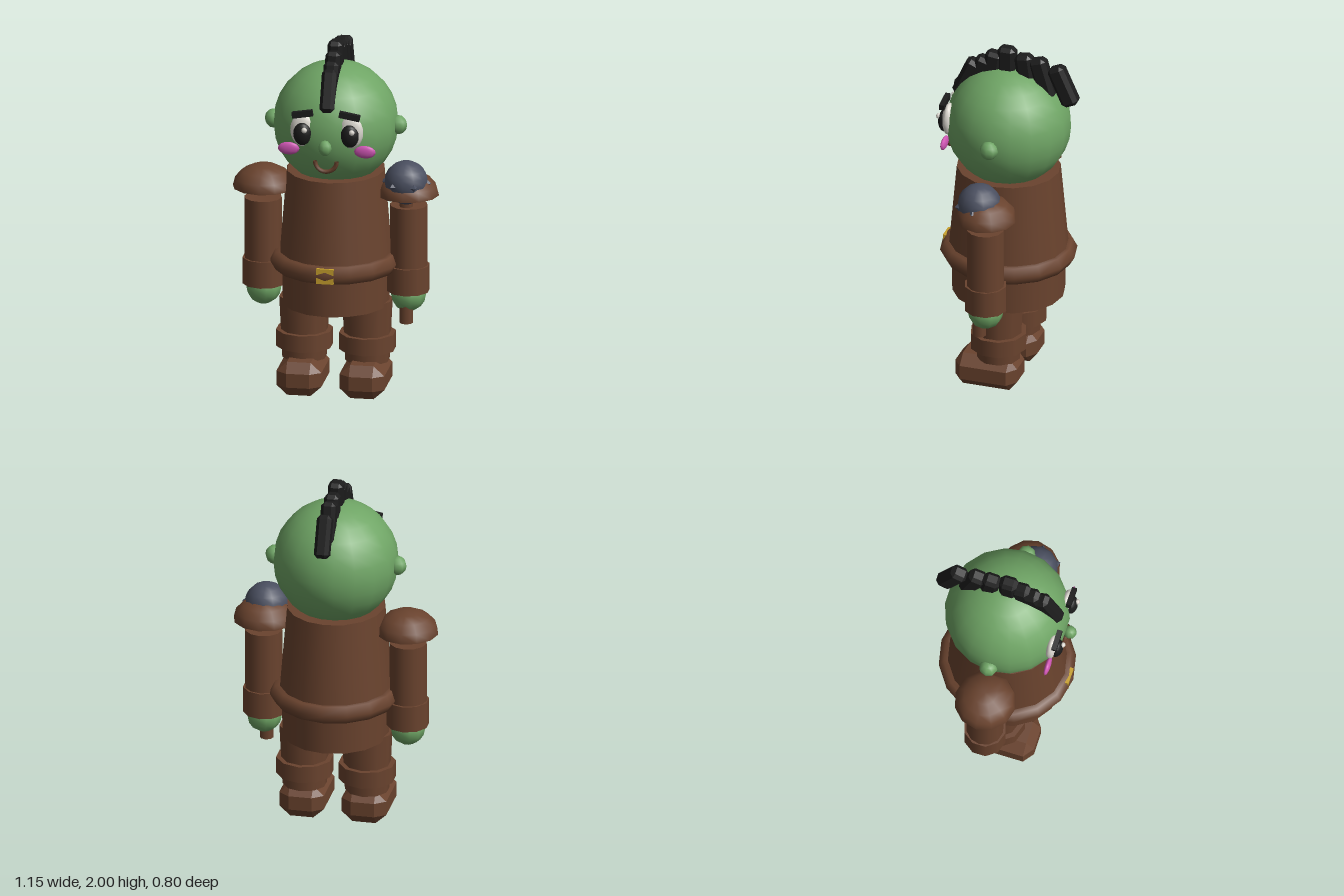
import * as THREE from 'three';
import { ConvexGeometry } from 'three/addons/geometries/ConvexGeometry.js';

export function createModel() {
  const root = new THREE.Group();
  const mat = (name, color, side = THREE.FrontSide) => {
    const m = new THREE.MeshStandardMaterial({ color, side });
    m.name = name;
    return m;
  };
  const green = mat('green skin', 0x6fa565);
  const leather = mat('brown leather', 0x6a432e, THREE.DoubleSide);
  const black = mat('black', 0x1c1c1c);
  const white = mat('eye white', 0xdcd8d0);
  const pink = mat('pink blush', 0xcf55b4);
  const gold = mat('gold', 0xc9a22e);
  const steel = mat('blue grey steel', 0x4a4f60);
  const Z = -0.008; // depth of the body axis

  const add = (name, geo, material, x, y, z) => {
    const m = new THREE.Mesh(geo, material);
    m.name = name;
    m.position.set(x, y, z);
    root.add(m);
    return m;
  };
  // upright tapered cylinder between two heights
  const tube = (name, material, x, z, y0, y1, r0, r1, sides = 10) =>
    add(name, new THREE.CylinderGeometry(r1, r0, y1 - y0, sides), material, x, (y0 + y1) / 2, z);
  // ellipsoid
  const ball = (name, material, x, y, z, rx, ry, rz, w = 10, h = 8) => {
    const m = add(name, new THREE.SphereGeometry(1, w, h), material, x, y, z);
    m.scale.set(rx, ry, rz);
    return m;
  };
  // box with all edges and corners cut off
  const chamferBox = (hx, hy, hz, cx, cy, cz) => {
    const pts = [];
    for (const i of [-1, 1]) for (const j of [-1, 1]) for (const k of [-1, 1]) {
      pts.push(new THREE.Vector3(i * hx, j * (hy - cy), k * (hz - cz)));
      pts.push(new THREE.Vector3(i * (hx - cx), j * hy, k * (hz - cz)));
      pts.push(new THREE.Vector3(i * (hx - cx), j * (hy - cy), k * hz));
    }
    return new ConvexGeometry(pts);
  };

  // torso, skirt and belt, a little narrower in x than in z
  tube('torso', leather, 0, Z, 0.75, 1.265, 0.334, 0.288, 16).scale.x = 0.94;
  tube('skirt', leather, 0, Z, 0.5, 0.75, 0.312, 0.316, 16).scale.x = 0.95;
  const beltGeo = new THREE.TorusGeometry(0.323, 0.056, 6, 16).rotateX(Math.PI / 2);
  add('belt', beltGeo, leather, 0, 0.75, Z).scale.x = 0.965;
  add('buckle', new THREE.BoxGeometry(0.095, 0.086, 0.03), gold, 0, 0.75, 0.342);

  // head
  ball('head', green, 0, 1.53, Z, 0.345, 0.345, 0.345, 18, 14);
  ball('nose', green, 0, 1.49, 0.352, 0.037, 0.044, 0.038, 8, 6);
  const mouth = add('mouth', new THREE.TorusGeometry(0.06, 0.012, 6, 12, Math.PI), leather, 0, 1.405, 0.322);
  mouth.rotation.z = Math.PI;

  for (const s of [-1, 1]) {
    // face details
    ball('ear', green, s * 0.346, 1.53, Z, 0.05, 0.053, 0.052, 8, 6);
    ball('eye', white, s * 0.135, 1.57, 0.292, 0.068, 0.094, 0.034, 12, 10);
    ball('pupil', black, s * 0.132, 1.555, 0.317, 0.05, 0.065, 0.036, 12, 10);
    ball('eyeGlint', white, s * 0.132 + 0.016, 1.585, 0.348, 0.016, 0.016, 0.014, 8, 6);
    ball('cheek', pink, s * 0.212, 1.46, 0.292, 0.06, 0.036, 0.016);
    const brow = add('eyebrow', new THREE.BoxGeometry(0.115, 0.034, 0.028), black, s * 0.131, 1.67, 0.318);
    brow.rotation.z = -s * 0.17;

    // arm
    tube('arm', leather, s * 0.405, Z, 0.7, 1.075, 0.104, 0.104, 12);
    tube('sleeveCuff', leather, s * 0.402, Z, 0.58, 0.73, 0.118, 0.118);
    ball('hand', green, s * 0.402, 0.56, Z, 0.098, 0.098, 0.098);
    const dome = new THREE.SphereGeometry(1, 12, 4, 0, Math.PI * 2, 0, Math.PI / 2);
    add('shoulderPad', dome, leather, s * 0.4, 1.135, Z).scale.set(0.173, 0.13, 0.17);

    // leg
    tube('leg', leather, s * 0.175, Z, 0.17, 0.52, 0.123, 0.14);
    tube('legCuff', leather, s * 0.175, Z, 0.235, 0.33, 0.158, 0.158);
    add('boot', chamferBox(0.125, 0.095, 0.178, 0.06, 0.055, 0.045), leather, s * 0.175, 0.095, 0.043);
  }

  // mohawk: a row of blocks whose tops lean towards the middle one [z, y]
  const tufts = [[0.225, 1.775], [0.155, 1.8], [0.085, 1.84], [0, 1.88], [-0.11, 1.85], [-0.205, 1.84], [-0.325, 1.812]];
  const tuftGeo = chamferBox(0.041, 0.12, 0.05, 0.02, 0.02, 0.022);
  tufts.forEach(([z, y], i) => {
    add('mohawkTuft', tuftGeo, black, 0, y, z).rotation.x = (i - 3) * 0.14;
  });

  // mace held upright in the left hand
  tube('maceHandle', leather, 0.397, 0.03, 0.405, 1.15, 0.038, 0.038, 8);
  ball('maceHead', steel, 0.397, 1.213, 0.03, 0.122, 0.122, 0.122, 12, 10);
  for (let i = 0; i < 6; i++) {
    const a = (i * Math.PI) / 3;
    const spike = new THREE.OctahedronGeometry(0.033);
    add('maceSpike', spike, steel, 0.397 + 0.105 * Math.cos(a), 1.213, 0.03 + 0.105 * Math.sin(a)).rotation.y = -a;
  }
  return root;
}
